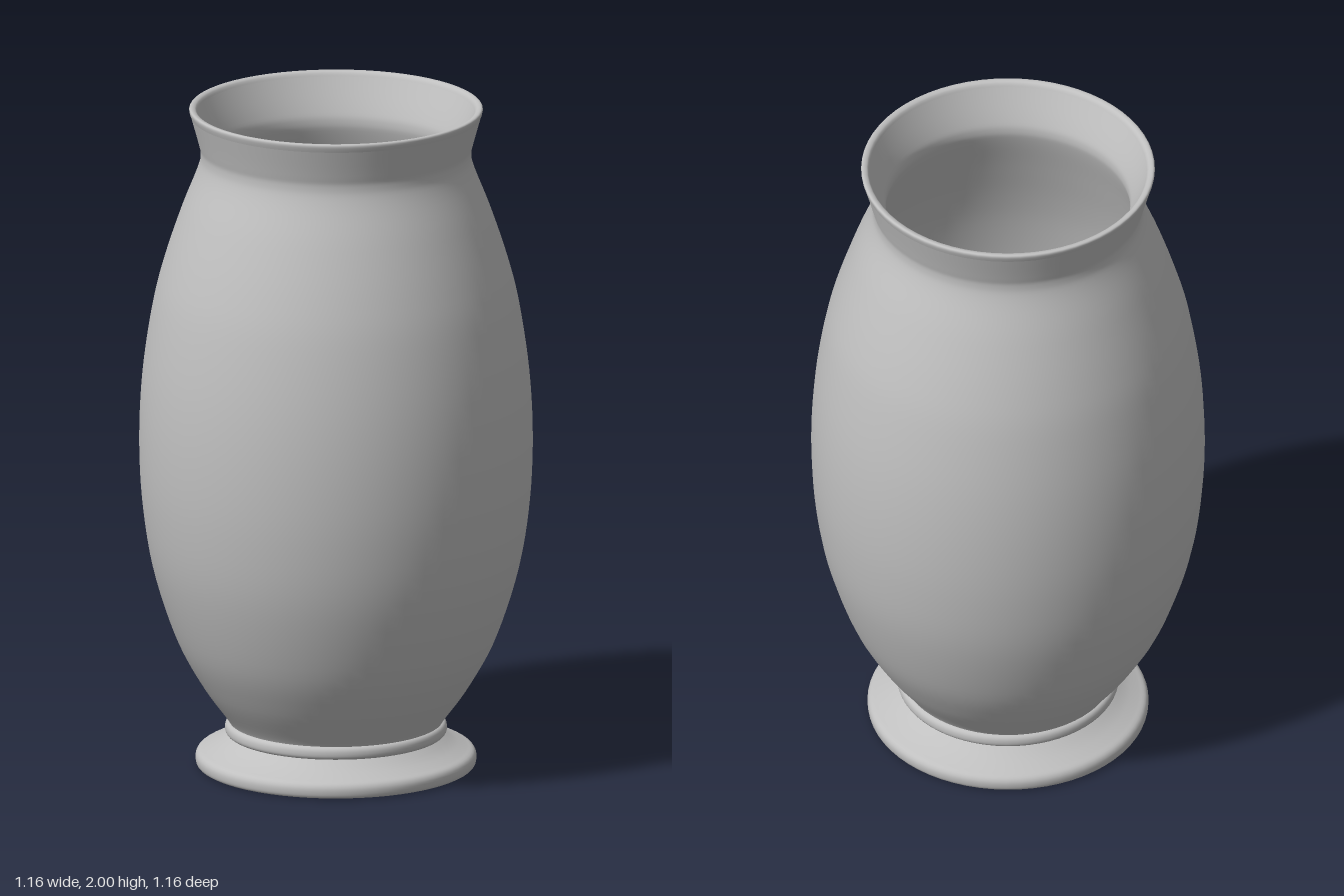
import * as THREE from 'three';

const SEGMENTS = 64;

// Smooth curve through [radius, height] pairs
function smooth(pairs, divisions) {
  const curve = new THREE.SplineCurve(pairs.map(([r, y]) => new THREE.Vector2(r, y)));
  return curve.getPoints(divisions).map((p) => new THREE.Vector2(Math.max(p.x, 0), p.y));
}

export function createModel() {
  const vase = new THREE.Group();
  vase.name = 'vase';
  const ceramic = new THREE.MeshStandardMaterial({ color: 0xc0c0c0 });
  ceramic.name = 'greyCeramic';

  function turn(name, points) {
    const mesh = new THREE.Mesh(new THREE.LatheGeometry(points, SEGMENTS), ceramic);
    mesh.name = name;
    vase.add(mesh);
  }

  // Hollow underside of the foot
  turn('footHollow', smooth([
    [0, 0.1], [0.12, 0.097], [0.24, 0.075], [0.33, 0.035], [0.395, 0],
  ], 16));

  // Flared foot with a rounded edge
  turn('foot', [
    ...smooth([[0.395, 0], [0.408, 0.004], [0.413, 0.015], [0.413, 0.032], [0.405, 0.045], [0.39, 0.052]], 14),
    ...smooth([[0.385, 0.054], [0.345, 0.073], [0.305, 0.1]], 6),
  ]);

  // Rounded collar between foot and body
  turn('collar', smooth([
    [0.3, 0.096], [0.318, 0.097], [0.326, 0.106], [0.326, 0.122], [0.32, 0.132], [0.31, 0.136],
  ], 14));

  // Swelling body, narrow neck and flared mouth
  turn('body', smooth([
    [0.312, 0.13], [0.325, 0.152], [0.395, 0.25], [0.47, 0.39], [0.538, 0.6], [0.57, 0.8],
    [0.579, 1.0], [0.569, 1.2], [0.54, 1.4], [0.505, 1.54], [0.455, 1.69], [0.408, 1.81],
    [0.398, 1.858], [0.405, 1.895], [0.427, 1.975],
  ], 72));

  // Narrow rounded lip
  turn('lip', smooth([
    [0.427, 1.975], [0.432, 1.99], [0.431, 1.998], [0.424, 2], [0.413, 1.996], [0.407, 1.984],
  ], 12));

  // Inner wall and bowl-shaped floor
  turn('interior', smooth([
    [0.407, 1.984], [0.371, 1.9], [0.36, 1.858], [0.37, 1.81], [0.417, 1.68], [0.467, 1.53],
    [0.502, 1.39], [0.531, 1.2], [0.541, 1.0], [0.532, 0.8], [0.5, 0.6], [0.433, 0.4],
    [0.355, 0.27], [0.27, 0.195], [0.14, 0.158], [0, 0.15],
  ], 72));

  return vase;
}
